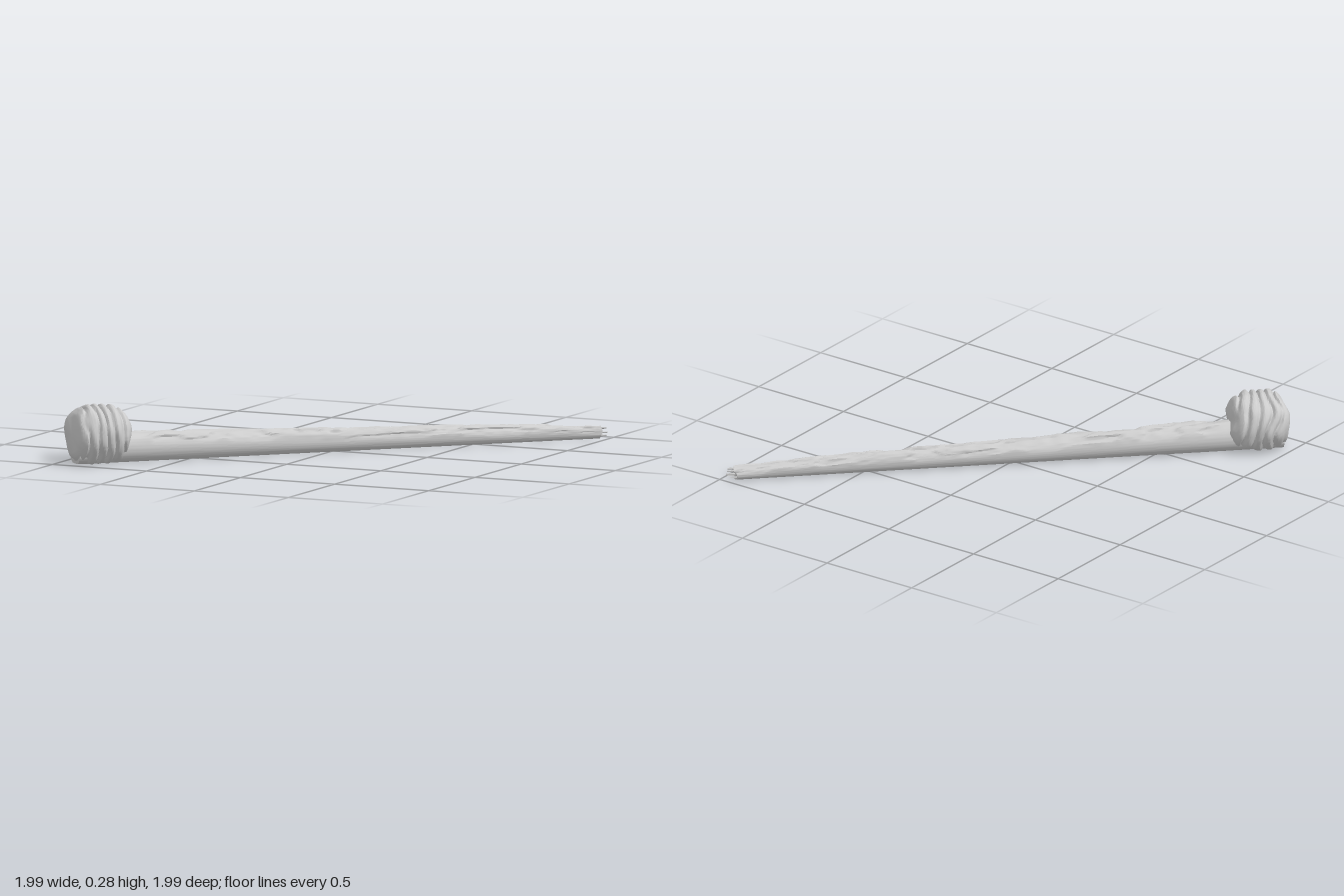
import * as THREE from 'three';
import { toCreasedNormals } from 'three/addons/utils/BufferGeometryUtils.js';

const material = new THREE.MeshStandardMaterial({ color: 0xcccccc });
const { lerp, smoothstep, clamp } = THREE.MathUtils;

// Smooth value noise, periodic in v with the given period
const hash = (i, j) => {
  const n = Math.sin(i * 127.1 + j * 311.7) * 43758.5453;
  return n - Math.floor(n);
};
function noise(u, v, period) {
  const i = Math.floor(u), j = Math.floor(v);
  const fu = smoothstep(u - i, 0, 1), fv = smoothstep(v - j, 0, 1);
  const w = (k) => ((k % period) + period) % period;
  return lerp(lerp(hash(i, w(j)), hash(i + 1, w(j)), fu),
    lerp(hash(i, w(j + 1)), hash(i + 1, w(j + 1)), fu), fv);
}

// Piecewise-linear lookup in a list of [position, value] pairs
function sample(table, x) {
  for (let i = 1; i < table.length; i++) {
    const [x0, y0] = table[i - 1], [x1, y1] = table[i];
    if (x <= x1) return lerp(y0, y1, clamp((x - x0) / (x1 - x0), 0, 1));
  }
  return table[table.length - 1][1];
}

// Closed loft along x: point(u, angle) returns a corner; angle 0 is up, then +z
function loft(rings, sides, point) {
  const positions = [], index = [];
  for (let i = 0; i <= rings; i++)
    for (let j = 0; j < sides; j++) positions.push(...point(i / rings, j / sides * Math.PI * 2));
  for (let i = 0; i < rings; i++)
    for (let j = 0; j < sides; j++) {
      const k = (j + 1) % sides, a = i * sides, b = a + sides;
      index.push(a + j, a + k, b + j, a + k, b + k, b + j);
    }
  // End caps around the mean of each end ring
  for (const ring of [0, rings]) {
    const c = [0, 0, 0], start = ring * sides, centre = positions.length / 3;
    for (let j = 0; j < sides; j++)
      for (let d = 0; d < 3; d++) c[d] += positions[(start + j) * 3 + d] / sides;
    positions.push(...c);
    for (let j = 0; j < sides; j++) {
      const a = start + j, b = start + (j + 1) % sides;
      index.push(centre, ...(ring ? [a, b] : [b, a]));
    }
  }
  const g = new THREE.BufferGeometry();
  g.setAttribute('position', new THREE.Float32BufferAttribute(positions, 3));
  g.setIndex(index);
  return toCreasedNormals(g, 0.7);
}

function add(parent, name, geometry) {
  const mesh = new THREE.Mesh(geometry, material);
  mesh.name = name;
  parent.add(mesh);
  return mesh;
}

// Height and half width of the shaft along its length
const shaftHeight = [[-1.3, 0.095], [-1.18, 0.1], [-1.08, 0.142], [-0.7, 0.133], [0, 0.108],
  [0.7, 0.092], [1.1, 0.074], [1.34, 0.06]];
const shaftHalfWidth = [[-1.3, 0.072], [-1, 0.074], [-0.5, 0.062], [0, 0.054], [0.7, 0.044], [1.34, 0.033]];

function shaftPoint(u, a) {
  const s = lerp(-1.3, 1.34, u);
  const h = sample(shaftHeight, s), w = sample(shaftHalfWidth, s);
  // Torn bark on the upper half, growing rougher towards the tip
  const top = smoothstep(Math.cos(a), lerp(0.35, -0.35, u), 0.85) * smoothstep(s, -1.08, -0.9);
  const v = a / (Math.PI * 2);
  const flake = noise(s * 7 + 20, v * 18 + s * 2, 18);
  const chip = smoothstep(flake, 0.45, 0.6) - 0.5;
  const fine = noise(s * 22 + 50, v * 32, 32) - 0.5;
  const bump = top * (chip * 0.011 + fine * 0.008) * lerp(1, 0.75, u);
  // Slightly flattened underside resting on the ground
  const y = h * 0.47 + Math.cos(a) * (h * 0.53 + bump);
  const ragged = u === 1 ? (noise(3, v * 9, 9) - 0.5) * 0.03 : 0;
  return [s + ragged, Math.max(0, y), Math.sin(a) * (w + bump)];
}

// Head outline: blunt outer end, rounded shoulder near the shaft
const headRadius = [[-1.315, 0.085], [-1.305, 0.108], [-1.28, 0.128], [-1.25, 0.136], [-1.19, 0.139],
  [-1.13, 0.136], [-1.09, 0.122], [-1.065, 0.102], [-1.05, 0.075]];

function headPoint(u, a) {
  const s = lerp(-1.315, -1.05, u), v = a / (Math.PI * 2);
  const r = sample(headRadius, s);
  // Uneven slanting windings, strongest through the middle
  const fade = smoothstep(u, 0, 0.2) * (1 - smoothstep(u, 0.85, 1));
  const phase = u * 5.5 + 0.35 * Math.sin(a + 0.6) + (noise(u * 3, v * 7, 7) - 0.5) * 0.9;
  const groove = Math.pow(Math.abs(Math.cos(phase * Math.PI)), 5);
  const lump = noise(u * 6 + 9, v * 14, 14) - 0.5;
  const rr = r + fade * (0.007 - groove * 0.016 + lump * 0.01);
  const wobble = (noise(u * 2 + 4, v * 6, 6) - 0.5) * 0.025;
  return [s + wobble, Math.max(0, 0.137 + Math.cos(a) * rr), Math.sin(a) * rr * 1.04];
}

export function createModel() {
  const model = new THREE.Group();
  model.name = 'woodenClub';

  const club = new THREE.Group();
  club.name = 'club';
  club.rotation.y = Math.PI / 4;
  model.add(club);

  add(club, 'shaft', loft(200, 72, shaftPoint));
  add(club, 'head', loft(60, 96, headPoint));

  // Broken splinters at the thin end: [height, sideways, length, radius]
  const splinters = [[0.05, 0.008, 0.05, 0.01], [0.045, -0.012, 0.055, 0.009], [0.03, 0.02, 0.035, 0.009],
    [0.026, -0.004, 0.06, 0.01], [0.014, -0.018, 0.04, 0.009], [0.013, 0.01, 0.05, 0.009]];
  for (const [y, z, length, radius] of splinters) {
    const g = new THREE.CylinderGeometry(radius * 0.3, radius, length + 0.04, 6);
    g.rotateZ(-Math.PI / 2);
    add(club, 'splinter', g).position.set(1.30 + (length + 0.04) / 2 - 0.015, y, z);
  }
  return model;
}
